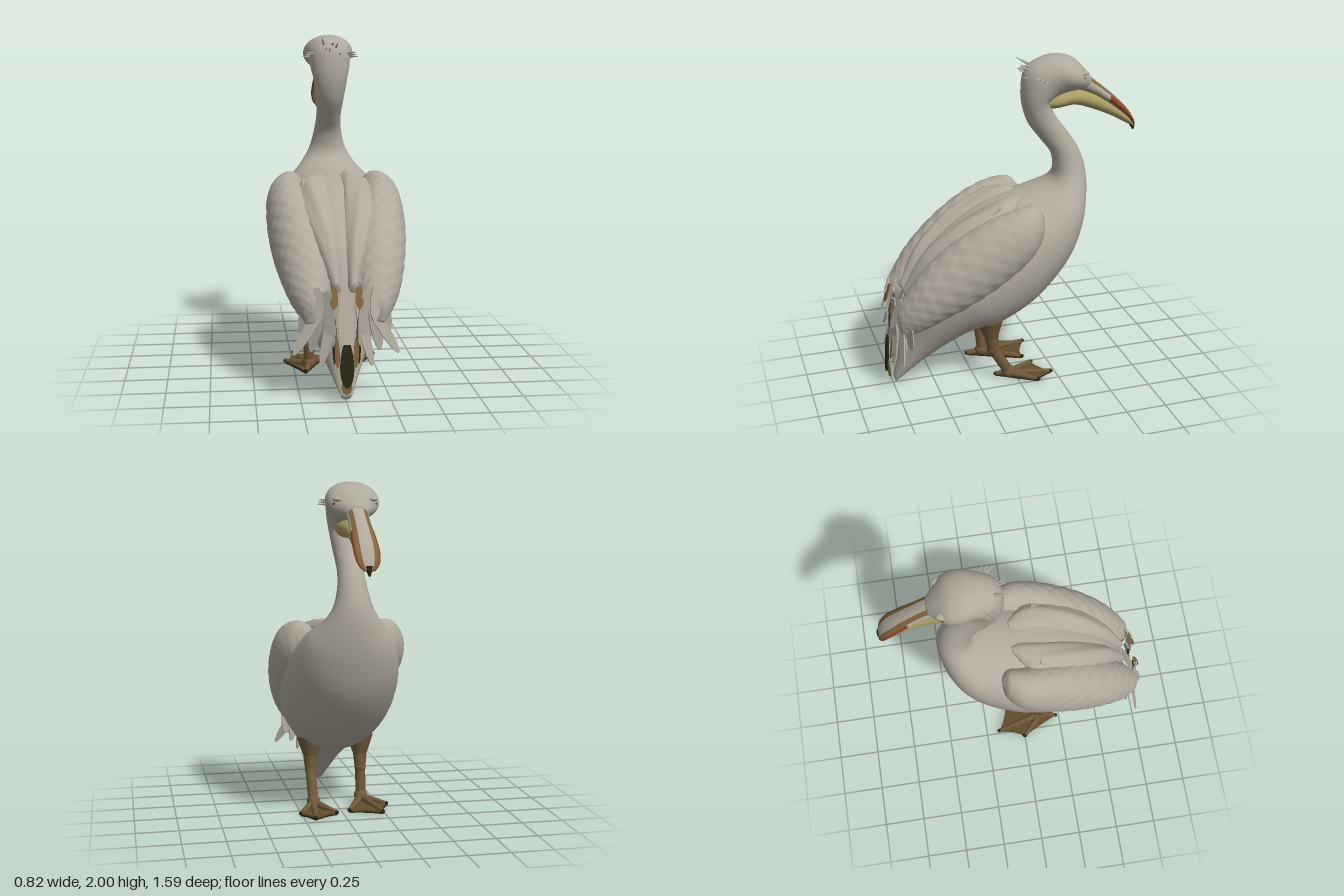
import * as THREE from 'three';

const mat = (name, color) => Object.assign(new THREE.MeshStandardMaterial({ color }), { name });
const M = {
  plumage: mat('plumage', 0xb0a99d),
  pouch: mat('pouch yellow', 0xa89d62),
  red: mat('bill red', 0x8a422b),
  tan: mat('tan', 0x80643c),
  leg: mat('leg brown', 0x6f5839),
  web: mat('web brown', 0x624d2e),
  dark: mat('dark olive', 0x2a2814),
};
const V = (x, y, z) => new THREE.Vector3(x, y, z);

// Smooth skin through sections [topZ, topY, bottomZ, bottomY, halfWidth, centreX], listed from rear to front.
function loft(name, sections, { steps = 60, sides = 32, side = 1, materials = [M.plumage], pick, bump } = {}) {
  const top = new THREE.CatmullRomCurve3(sections.map(s => V(s[4], s[1], s[0])), false, 'catmullrom', 0.5);
  const low = new THREE.CatmullRomCurve3(sections.map(s => V(s[5] || 0, s[3], s[2])), false, 'catmullrom', 0.5);
  const pos = [], lists = materials.map(() => []);
  for (let i = -1; i <= steps + 1; i++) {
    const t = Math.min(Math.max(i / steps, 0), 1), a = top.getPoint(t), b = low.getPoint(t);
    const closed = i < 0 || i > steps ? 0 : 1;
    for (let j = 0; j < sides; j++) {
      const q = j / sides * Math.PI * 2, r = closed * (bump ? bump(t, q) : 1), s = Math.sin(q) * r / 2;
      pos.push(side * (b.x + Math.cos(q) * a.x * r),
        (a.y + b.y) / 2 + (a.y - b.y) * s, (a.z + b.z) / 2 + (a.z - b.z) * s);
    }
  }
  for (let i = 0; i < steps + 2; i++) for (let j = 0; j < sides; j++) {
    const k = (j + 1) % sides, a = i * sides + j, b = i * sides + k, c = a + sides, d = b + sides;
    const list = lists[pick ? pick(i / steps, (j + 0.5) / sides * Math.PI * 2) : 0];
    if (side > 0) list.push(a, c, b, b, c, d);
    else list.push(a, b, c, b, d, c);
  }
  const g = new THREE.BufferGeometry();
  g.setAttribute('position', new THREE.Float32BufferAttribute(pos, 3));
  g.setIndex(lists.flat());
  let start = 0;
  lists.forEach((l, i) => { g.addGroup(start, l.length, i); start += l.length; });
  g.computeVertexNormals();
  const m = new THREE.Mesh(g, materials.length > 1 ? materials : materials[0]);
  m.name = name;
  return m;
}

// Thin blade-shaped feather between two points
const blade = new THREE.Shape();
blade.moveTo(-0.25, 0);
blade.bezierCurveTo(-0.6, 0.4, -0.6, 0.85, -0.1, 1);
blade.lineTo(0.1, 1);
blade.bezierCurveTo(0.6, 0.85, 0.6, 0.4, 0.25, 0);
const bladeGeo = new THREE.ExtrudeGeometry(blade, { depth: 1, bevelEnabled: false, curveSegments: 8 });
function feather(name, base, tip, width, material, facing = V(0, 0, 1)) {
  const y = tip.clone().sub(base), len = y.length();
  y.normalize();
  const x = y.clone().cross(facing).normalize(), z = x.clone().cross(y);
  const m = new THREE.Mesh(bladeGeo, material);
  m.name = name;
  m.quaternion.setFromRotationMatrix(new THREE.Matrix4().makeBasis(x, y, z));
  m.position.copy(base);
  m.scale.set(width, len, 0.009);
  return m;
}

// Tapered limb or quill between two points
function rod(name, a, b, r0, r1, material, sides = 12) {
  const d = b.clone().sub(a);
  const m = new THREE.Mesh(new THREE.CylinderGeometry(r1, r0, d.length(), sides), material);
  m.name = name;
  m.position.copy(a).add(b).multiplyScalar(0.5);
  m.quaternion.setFromUnitVectors(V(0, 1, 0), d.normalize());
  return m;
}
function ball(name, p, sx, sy, sz, material) {
  const m = new THREE.Mesh(new THREE.SphereGeometry(1, 16, 12), material);
  m.name = name;
  m.position.copy(p);
  m.scale.set(sx, sy, sz);
  return m;
}

// Leg with webbed foot; toe tips are (x, z) on the ground, ordered outer, middle, inner, hind
function leg(name, x, heelZ, tips) {
  const g = new THREE.Group();
  g.name = name;
  const hip = V(x, 0.43, 0.17), thigh = V(x, 0.31, 0.16), knee = V(x, 0.22, 0.15), ankle = V(x, 0.045, heelZ);
  g.add(rod('hip', hip, thigh, 0.085, 0.044, M.leg, 16), rod('upperLeg', thigh, knee, 0.044, 0.034, M.leg, 16),
    ball('knee', knee, 0.036, 0.04, 0.038, M.leg),
    rod('shank', knee, ankle, 0.033, 0.032, M.leg), ball('ankle', ankle, 0.042, 0.04, 0.046, M.leg));
  // web outline, slightly scalloped between the toes
  const [outer, middle, inner, hind] = tips.map(([px, pz]) => new THREE.Vector2(px, -pz));
  const heel = new THREE.Vector2(x, -heelZ);
  const notch = (a, b) => a.clone().add(b).multiplyScalar(0.5).lerp(heel, 0.12);
  const s = new THREE.Shape();
  s.moveTo(hind.x, hind.y);
  s.quadraticCurveTo(...notch(hind, outer), outer.x, outer.y);
  s.quadraticCurveTo(...notch(outer, middle), middle.x, middle.y);
  s.quadraticCurveTo(...notch(middle, inner), inner.x, inner.y);
  s.lineTo(hind.x, hind.y);
  const geo = new THREE.ExtrudeGeometry(s, { depth: 0.009, bevelEnabled: false }).rotateX(-Math.PI / 2);
  [['sole', M.dark], ['web', M.web]].forEach(([part, material], i) => {
    const m = new THREE.Mesh(geo, material);
    m.name = part;
    m.position.y = i * 0.009;
    g.add(m);
  });
  // toes and claws
  for (const [px, pz] of tips) {
    const tip = V(px, 0.018, pz);
    g.add(rod('toe', V(x, 0.035, heelZ), tip, 0.026, 0.012, M.leg, 8), ball('claw', tip, 0.012, 0.013, 0.016, M.dark));
  }
  return g;
}

export function createModel() {
  const model = new THREE.Group();
  model.name = 'waterBird';

  // Tail, torso, neck and head in one skin
  model.add(loft('body', [
    [0.745, 0.05, 0.735, 0.01, 0.03], [0.71, 0.2, 0.64, 0.09, 0.08], [0.68, 0.42, 0.53, 0.17, 0.14],
    [0.65, 0.62, 0.38, 0.265, 0.22], [0.55, 0.82, 0.25, 0.33, 0.29], [0.4, 0.97, 0.1, 0.355, 0.335],
    [0.22, 1.09, -0.1, 0.46, 0.35], [0.05, 1.155, -0.26, 0.61, 0.335], [-0.1, 1.19, -0.38, 0.78, 0.3],
    [-0.2, 1.215, -0.45, 0.97, 0.25], [-0.26, 1.245, -0.48, 1.14, 0.175], [-0.282, 1.3, -0.478, 1.29, 0.115],
    [-0.265, 1.4, -0.435, 1.42, 0.085], [-0.2, 1.49, -0.365, 1.53, 0.076], [-0.12, 1.6, -0.29, 1.63, 0.085],
    [-0.083, 1.72, -0.25, 1.72, 0.1], [-0.08, 1.83, -0.28, 1.75, 0.115], [-0.1, 1.92, -0.32, 1.765, 0.125],
    [-0.17, 1.975, -0.36, 1.775, 0.138], [-0.28, 2.0, -0.39, 1.78, 0.153], [-0.38, 1.98, -0.42, 1.785, 0.14],
    [-0.45, 1.92, -0.45, 1.785, 0.095], [-0.5, 1.86, -0.49, 1.79, 0.05],
  ], { steps: 120, sides: 40 }));

  // Bill: pale ridge, brown upper sides, red edges toward the tip
  model.add(loft('upperBill', [
    [-0.4, 1.93, -0.4, 1.78, 0.07], [-0.48, 1.87, -0.46, 1.765, 0.064], [-0.55, 1.815, -0.53, 1.735, 0.062],
    [-0.64, 1.74, -0.62, 1.675, 0.068], [-0.73, 1.65, -0.71, 1.605, 0.073], [-0.775, 1.58, -0.76, 1.555, 0.062],
    [-0.79, 1.535, -0.785, 1.525, 0.035],
  ], {
    sides: 48,
    materials: [M.plumage, M.tan, M.red, M.pouch],
    pick: (t, q) => Math.sin(q) < -0.5 ? 3 : Math.abs(Math.cos(q)) < 0.52 || t < 0.2 ? 0
      : Math.sin(q) > 0.5 ? 1 : t > 0.48 ? 2 : 0,
  }));
  model.add(loft('throatPouch', [
    [-0.22, 1.75, -0.22, 1.68, 0.06], [-0.3, 1.785, -0.29, 1.68, 0.085], [-0.42, 1.79, -0.4, 1.69, 0.075],
    [-0.52, 1.755, -0.52, 1.653, 0.058], [-0.63, 1.69, -0.64, 1.6, 0.056], [-0.73, 1.615, -0.73, 1.55, 0.054],
    [-0.78, 1.55, -0.782, 1.52, 0.03],
  ], { materials: [M.pouch, M.plumage], pick: (t, q) => t > 0.35 && Math.sin(q) < -0.85 ? 1 : 0 }));
  model.add(rod('billHook', V(0, 1.55, -0.775), V(0, 1.5, -0.792), 0.022, 0.006, M.dark));

  // Ragged crest at the back of the head
  for (let i = 0; i < 6; i++) {
    const x = (i - 2.5) * 0.016, y = 1.96 - (i % 3) * 0.03;
    model.add(rod('crestTuft', V(x, y - 0.02, -0.14), V(x * 1.5, y + 0.022 - (i % 2) * 0.03, -0.065), 0.01, 0.002, M.plumage, 6));
  }
  // Central tail feathers
  model.add(feather('rumpFeather', V(0, 0.62, 0.66), V(0, 0.28, 0.765), 0.09, M.plumage),
    feather('darkTailFeather', V(0, 0.33, 0.768), V(0, 0.09, 0.785), 0.078, M.dark),
    feather('tailFeatherTip', V(0, 0.13, 0.765), V(0, 0.05, 0.765), 0.06, M.tan));

  for (const side of [1, -1]) {
    const P = (x, y, z) => V(side * x, y, z);
    // Folded wing with rippled covert rows
    model.add(loft(side > 0 ? 'leftWing' : 'rightWing', [
      [0.73, 0.45, 0.7, 0.41, 0.025, 0.19], [0.74, 0.56, 0.66, 0.42, 0.065, 0.18], [0.68, 0.68, 0.58, 0.45, 0.115, 0.185],
      [0.57, 0.83, 0.45, 0.52, 0.145, 0.205], [0.4, 0.985, 0.27, 0.61, 0.16, 0.23], [0.2, 1.11, 0.1, 0.73, 0.145, 0.262],
      [0.03, 1.17, -0.04, 0.86, 0.12, 0.278], [-0.08, 1.18, -0.12, 0.96, 0.085, 0.255], [-0.13, 1.13, -0.14, 1.05, 0.035, 0.24],
    ], { steps: 120, sides: 48, side, bump: (t, q) => 1 + 0.018 * Math.min(1, (1 - t) * 2) * Math.sin(t * 100 + 1.6 * Math.sin(q * 11)) }));
    // Broad shoulder feather masses meeting along the spine
    model.add(loft('scapulars', [
      [0.68, 0.64, 0.62, 0.54, 0.025, 0.045], [0.56, 0.865, 0.44, 0.7, 0.075, 0.08], [0.36, 1.045, 0.24, 0.84, 0.105, 0.115],
      [0.14, 1.155, 0.08, 0.98, 0.105, 0.125], [0.02, 1.185, 0, 1.08, 0.07, 0.1], [-0.05, 1.185, -0.05, 1.14, 0.02, 0.08],
    ], { side, sides: 32, bump: (t, q) => 1 + 0.045 * Math.sin(q * 7 + t * 9) * Math.sin(Math.PI * t) }));
    for (let i = 0; i < 5; i++) {
      const z = 0.1 + i * 0.1, y = 1.165 - i * 0.06 - i * i * 0.006;
      model.add(feather('backFeather', P(0.17, y - 0.01, z), P(0.13 - i * 0.01, y - 0.14 - i * 0.012, z + 0.19 - i * 0.012), 0.075, M.plumage, P(0.15, 0.8, 0.6)));
    }
    // Flight feathers fanned at the wing tip
    [[0.09, 0.59, 0.7, 0.29, 0.27, 0.735, 0.06], [0.06, 0.54, 0.72, 0.14, 0.21, 0.76, 0.055],
      [0.13, 0.62, 0.72, 0.19, 0.28, 0.7, 0.07], [0.1, 0.63, 0.74, 0.08, 0.3, 0.745, 0.06],
      [0.22, 0.56, 0.68, 0.23, 0.34, 0.67, 0.07], [0.16, 0.64, 0.71, 0.15, 0.46, 0.765, 0.06],
    ].forEach(f => model.add(feather('flightFeather', P(f[0], f[1], f[2]), P(f[3], f[4], f[5]), f[6], M.plumage, P(0.35, 0.1, 1))));
    model.add(feather('tanFeather', P(0.07, 0.64, 0.725), P(0.07, 0.53, 0.765), 0.045, M.tan),
      feather('tanTailFeather', P(0.055, 0.36, 0.745), P(0.05, 0.2, 0.765), 0.028, M.tan),
      feather('darkUnderFeather', P(0.065, 0.47, 0.735), P(0.068, 0.22, 0.755), 0.022, M.dark));
    // Face: brow, eye and ear tuft
    model.add(ball('brow', P(0.1, 1.9, -0.405), 0.028, 0.015, 0.05, M.plumage),
      ball('eye', P(0.116, 1.875, -0.415), 0.011, 0.01, 0.013, M.dark));
    for (let i = 0; i < 3; i++)
      model.add(rod('earTuft', P(0.11, 1.87 + i * 0.01, -0.2 + i * 0.02), P(0.17 - i * 0.012, 1.87 + i * 0.014, -0.17 + i * 0.03), 0.009, 0.002, M.plumage, 6));
  }

  model.add(leg('leftLeg', 0.157, 0.05, [[0.262, -0.11], [0.19, -0.215], [0.045, -0.13], [0.12, 0.12]]),
    leg('rightLeg', -0.16, 0.13, [[-0.295, 0.0], [-0.235, -0.165], [-0.04, -0.1], [-0.185, 0.225]]));
  return model;
}
